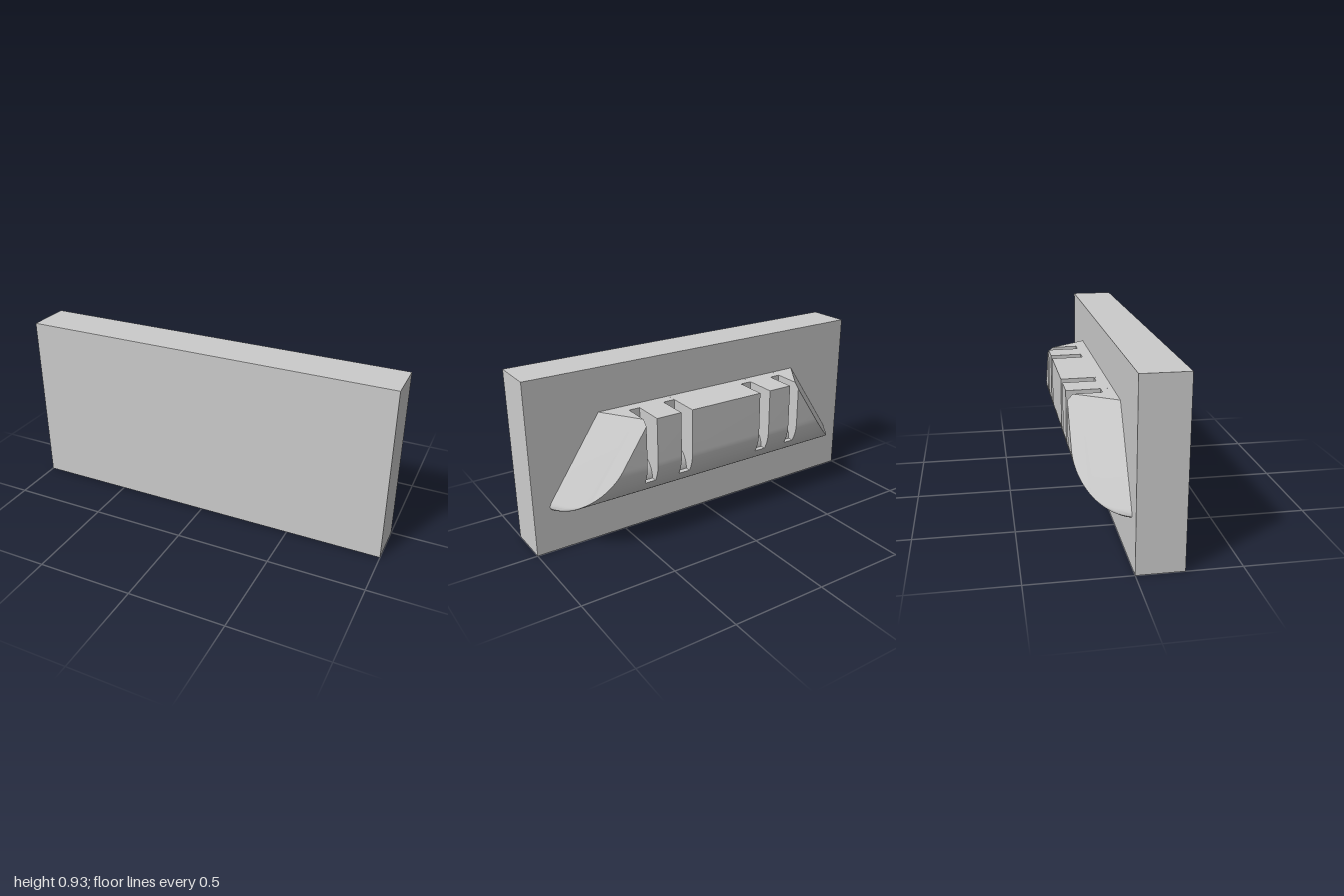
import * as THREE from 'three';
import { toCreasedNormals } from 'three/addons/utils/BufferGeometryUtils.js';

const R = 0.23, CY = 0.46, TOP = 0.695, END = 0.48;
const material = new THREE.MeshStandardMaterial({ color: 0xcccccc });

// Underside height of the raised body at depth d behind the slab
const bottomY = (d) => CY - Math.sqrt(Math.max(0, R * R - d * d));
// Sloping end plane
const endX = (y, d) => 0.62 + 0.675 * (TOP - y) - 0.7 * d;

function addMesh(group, name, geometry) {
  const mesh = new THREE.Mesh(toCreasedNormals(geometry, 0.5), material);
  mesh.name = name;
  group.add(mesh);
}

// Extrudes a (depth, height) profile along x from x0 to x1
function sweep(shape, x0, x1) {
  const g = new THREE.ExtrudeGeometry(shape, { depth: x1 - x0, bevelEnabled: false, curveSegments: 24 });
  return g.rotateY(Math.PI / 2).translate(x0, 0, 0);
}

// Full rounded body section
function bodyShape() {
  const s = new THREE.Shape();
  s.moveTo(0, bottomY(0));
  s.absarc(0, CY, R, -Math.PI / 2, 0, false);
  s.lineTo(R, TOP - 0.003);
  s.lineTo(0, TOP);
  return s;
}

// Section left inside a slot: tall web, rounded shoulder and a small lip
function slotShape() {
  const s = new THREE.Shape();
  const lip = bottomY(0.2);
  s.moveTo(0, bottomY(0));
  s.absarc(0, CY, R, -Math.PI / 2, -Math.acos(0.2 / R), false);
  s.lineTo(0.17, lip);
  s.absarc(0.06, lip, 0.11, 0, Math.PI / 2, false);
  s.lineTo(0.06, TOP - 0.001);
  s.lineTo(0, TOP);
  return s;
}

// Sloping end, lofted from slices in depth with a fading rounded lower tip
function endGeometry(side) {
  const depths = [0.2];
  for (let i = 0; i <= 20; i++) depths.push(R * Math.sin((i / 20) * Math.PI / 2));
  depths.sort((a, b) => a - b);
  const pos = [], idx = [], N = 10;
  for (const d of depths) {
    const yb = bottomY(d);
    let yt = TOP - 0.013 * d;
    if (endX(yt, d) < END) yt = TOP - (END - 0.62 + 0.7 * d) / 0.675;
    const fade = Math.max(0, 1 - d / 0.16), xb = endX(yb, d);
    const tip = new THREE.QuadraticBezierCurve(
      new THREE.Vector2(endX(yb + 0.05 * fade, d), yb + 0.05 * fade),
      new THREE.Vector2(xb, yb),
      new THREE.Vector2(xb - 0.06 * fade, yb));
    const loop = [[END, yt], [Math.max(END, endX(yt, d)), yt],
      ...tip.getPoints(N - 4).map((p) => [p.x, p.y]), [END, yb]];
    loop.forEach(([x, y]) => pos.push(side * x, y, -d));
  }
  const tri = (a, b, c) => (side > 0 ? idx.push(a, b, c) : idx.push(a, c, b));
  for (let i = 0; i < depths.length - 1; i++) {
    for (let j = 0; j < N; j++) {
      const k = (j + 1) % N, a = i * N, b = a + N;
      tri(a + j, a + k, b + j);
      tri(a + k, b + k, b + j);
    }
  }
  const last = (depths.length - 1) * N;
  for (let j = 1; j < N - 1; j++) tri(last, last + j, last + j + 1);
  const g = new THREE.BufferGeometry();
  g.setAttribute('position', new THREE.Float32BufferAttribute(pos, 3));
  g.setIndex(idx);
  return g;
}

export function createModel() {
  const model = new THREE.Group();
  model.name = 'wallBlock';

  addMesh(model, 'backingSlab', new THREE.BoxGeometry(2, 0.925, 0.23).translate(0, 0.4625, 0.115));

  // Raised body: full sections alternating with slots
  const body = new THREE.Group();
  body.name = 'raisedBody';
  model.add(body);
  const cuts = [-0.48, -0.42, -0.28, -0.215, 0.215, 0.28, 0.42, 0.48];
  for (let i = 0; i < cuts.length - 1; i++) {
    const slot = i % 2 === 0;
    addMesh(body, slot ? 'slotCore' : 'bodySection',
      sweep(slot ? slotShape() : bodyShape(), cuts[i], cuts[i + 1]));
  }
  addMesh(body, 'leftEnd', endGeometry(1));
  addMesh(body, 'rightEnd', endGeometry(-1));
  return model;
}
